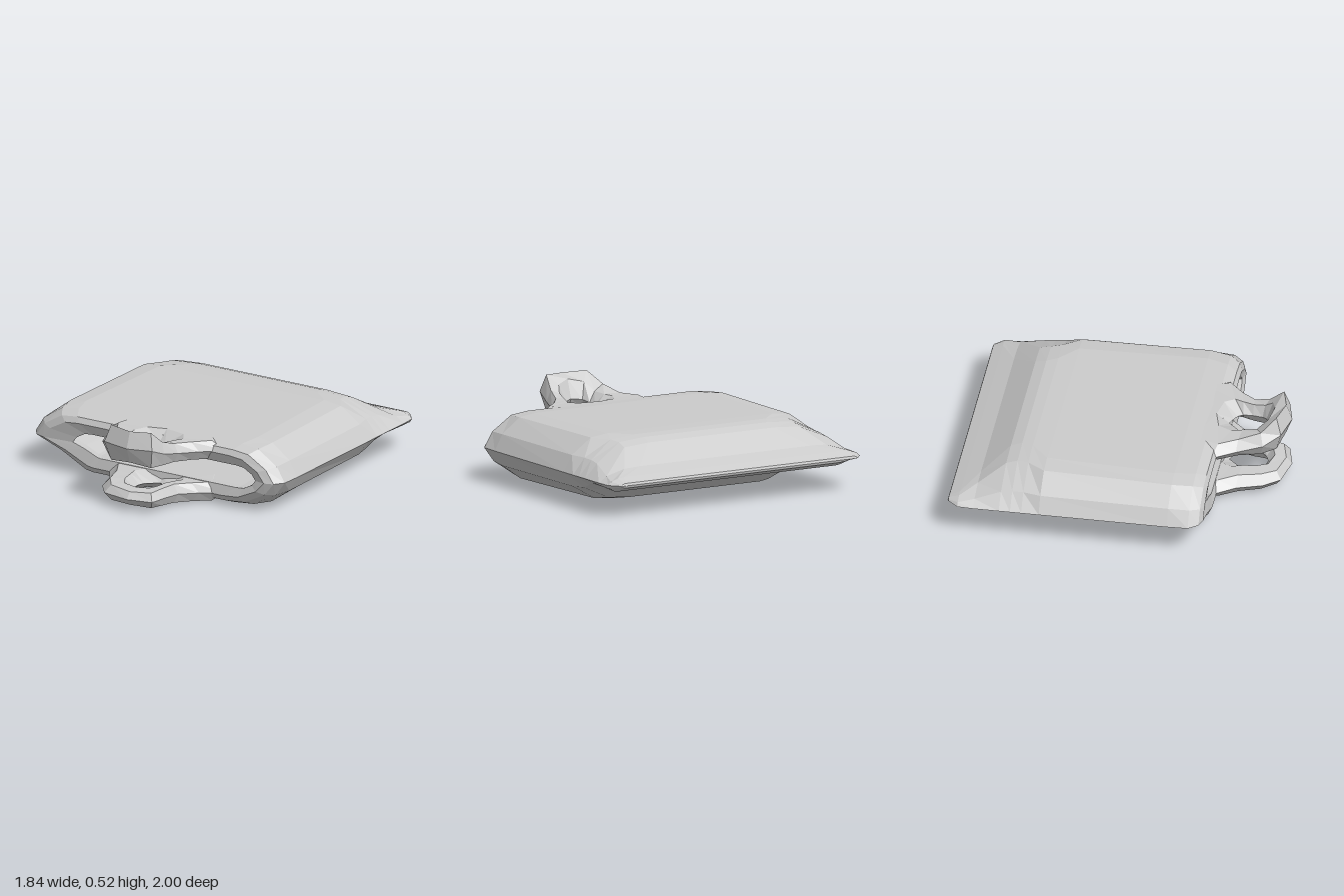
import * as THREE from 'three';

const material = new THREE.MeshStandardMaterial({ color: 0xcccccc, flatShading: true });

// Skin a list of closed cross-sections; closed joins the last ring to the first
function loft(name, rings, closed) {
  const n = rings[0].length, index = [];
  const last = closed ? rings.length : rings.length - 1;
  for (let i = 0; i < last; i++) {
    for (let j = 0; j < n; j++) {
      const k = (j + 1) % n, p = i * n, q = ((i + 1) % rings.length) * n;
      index.push(p + j, p + k, q + k, p + j, q + k, q + j);
    }
  }
  const geometry = new THREE.BufferGeometry();
  geometry.setAttribute('position', new THREE.Float32BufferAttribute(rings.flat(2), 3));
  geometry.setIndex(index);
  geometry.computeVertexNormals();
  const mesh = new THREE.Mesh(geometry, material);
  mesh.name = name;
  return mesh;
}

// Pillow-shaped cross-section: rim half-width w, flat top tw at yt, flat bottom bw at yb.
// The lower right side is cut back as a flatter slope.
const MID = 0.21;
const ROUND = [[0, 0], [0.19, 0.48], [0.62, 0.93], [1, 1]];
const SLOPE = [[0, 0], [0.44, 0.4], [0.88, 0.95], [1, 1]];
function section([z, w, tw, yt, bw, yb, cx = 0]) {
  const arc = (side, curve, flat, y) => curve.map(([u, v]) =>
    [cx + side * (w + (flat - w) * u), MID + (y - MID) * v, z]);
  return [
    ...arc(1, ROUND, tw, yt),
    ...arc(-1, ROUND, tw, yt).reverse(),
    ...arc(-1, SLOPE, bw * 0.88, yb).slice(1),
    ...arc(1, ROUND, bw, yb).slice(1).reverse(),
  ];
}

// Height along a list of [z, y] points
function heightAt(z, profile) {
  if (z <= profile[0][0]) return profile[0][1];
  for (let i = 1; i < profile.length; i++) {
    const [z0, y0] = profile[i - 1], [z1, y1] = profile[i];
    if (z <= z1) return y0 + (y1 - y0) * (z - z0) / (z1 - z0);
  }
  return profile[profile.length - 1][1];
}

// Outline and finger hole of a pull tab, as matching [x, z] points; the root reaches into the lip
const OUTER = [[0.5, 0.53], [0.37, 0.64], [0.28, 0.74], [0.25, 0.85], [0.23, 0.96], [0.07, 1],
  [-0.12, 0.96], [-0.2, 0.86], [-0.25, 0.7], [-0.34, 0.56], [-0.3, 0.36], [0.06, 0.32], [0.42, 0.36]];
const HOLE = [[0.14, 0.65], [0.16, 0.68], [0.16, 0.74], [0.15, 0.8], [0.12, 0.83], [0.07, 0.85],
  [0, 0.83], [-0.02, 0.78], [-0.02, 0.72], [-0.01, 0.68], [0.03, 0.64], [0.06, 0.61], [0.11, 0.63]];

function tab(name, top, bottom) {
  const rings = OUTER.map(([ox, oz], i) => {
    const [hx, hz] = HOLE[i];
    // across the band: t from outline to hole, s from bottom to top
    return [[0, 0.5], [0.25, 1], [0.72, 1], [1, 0.5], [0.72, 0], [0.25, 0]].map(([t, s]) => {
      const x = ox + (hx - ox) * t, z = oz + (hz - oz) * t;
      const low = heightAt(z, bottom), high = heightAt(z, top);
      return [x, low + (high - low) * s, z];
    });
  });
  return loft(name, rings, true);
}

export function createModel() {
  const group = new THREE.Group();
  group.name = 'pouch';

  // Hollow body: outside from the back edge to the front lip, then the inside back again
  const stations = [
    [-1, 0.85, 0.8, MID, 0.8, MID],
    [-0.995, 0.86, 0.82, 0.225, 0.82, 0.195],
    [-0.93, 0.915, 0.8, 0.25, 0.84, 0.165],
    [-0.83, 0.92, 0.62, 0.285, 0.76, 0.155],
    [-0.67, 0.92, 0.46, 0.39, 0.64, 0.14],
    [-0.6, 0.92, 0.45, 0.412, 0.54, 0.09],
    [-0.53, 0.92, 0.48, 0.42, 0.5, 0.03],
    [-0.42, 0.92, 0.6, 0.422, 0.56, 0.01],
    [0.38, 0.92, 0.63, 0.418, 0.62, 0.006],
    [0.51, 0.915, 0.6, 0.408, 0.55, 0.018],
    [0.57, 0.87, 0.57, 0.38, 0.52, 0.04],
    [0.59, 0.81, 0.55, 0.345, 0.5, 0.075],
    [0.575, 0.67, 0.53, 0.285, 0.53, 0.14, 0.07],
    [0.5, 0.69, 0.55, 0.29, 0.55, 0.135, 0.05],
    [-0.42, 0.7, 0.5, 0.29, 0.5, 0.135],
    [-0.65, 0.66, 0.45, 0.25, 0.5, 0.18],
    [-0.75, 0.62, 0.45, MID, 0.5, MID],
  ];
  group.add(loft('body', stations.map(section), false));

  // Upper pull tab curls upward at its tip
  group.add(tab('upperTab',
    [[0.45, 0.412], [0.62, 0.405], [0.8, 0.412], [0.87, 0.47], [0.94, 0.535], [1, 0.49]],
    [[0.6, 0.29], [0.92, 0.29], [1, 0.34]]));

  // Lower pull tab lies flat
  group.add(tab('lowerTab',
    [[0.6, 0.137], [0.75, 0.145], [0.9, 0.135], [1, 0.12]],
    [[0.45, 0.013], [0.7, 0.022], [0.93, 0.034], [1, 0.05]]));

  return group;
}
